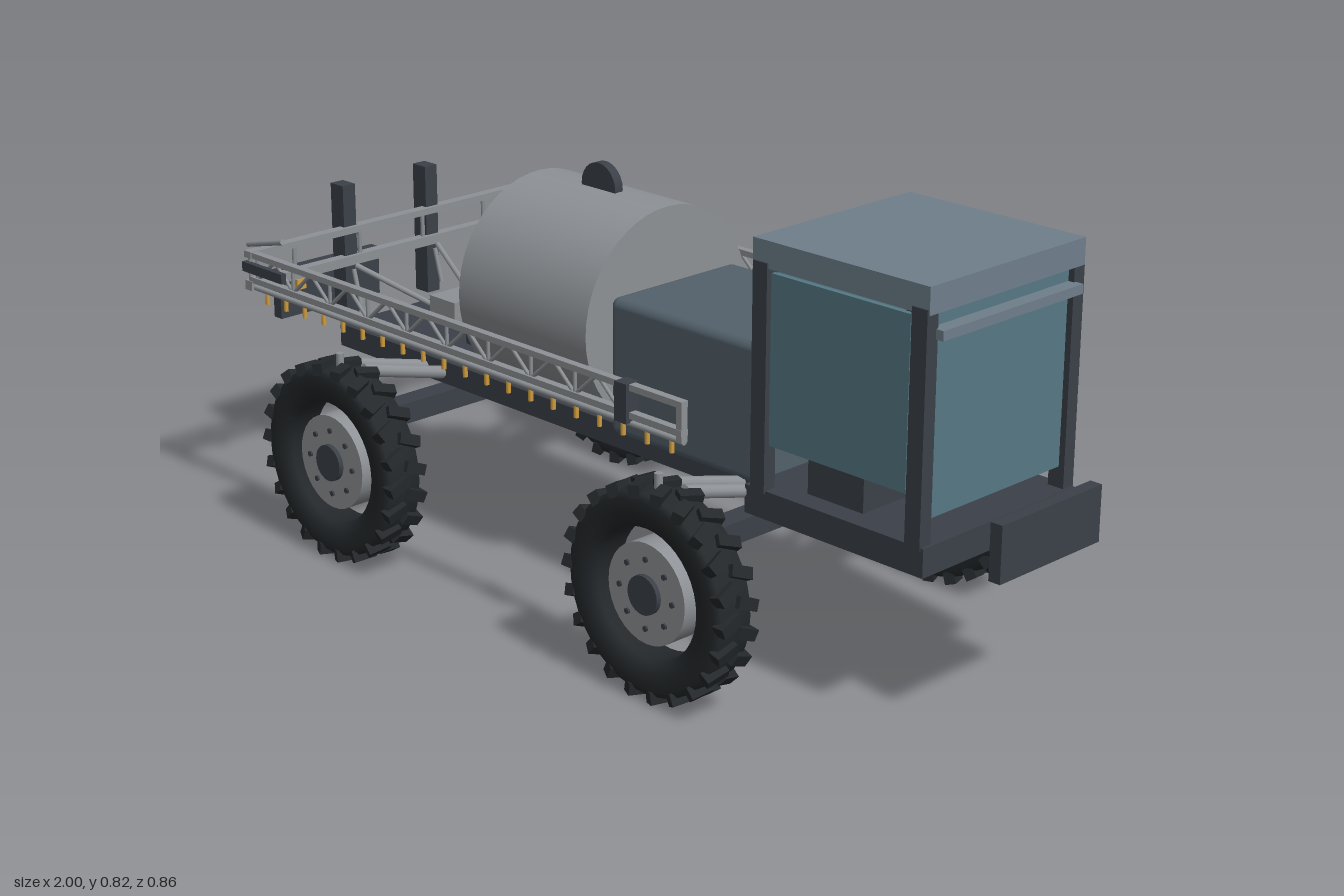
import * as THREE from 'three';
import { RoundedBoxGeometry } from 'three/addons/geometries/RoundedBoxGeometry.js';

const mat = (color, flatShading = false) => {
  const m = new THREE.MeshStandardMaterial({ color });
  m.flatShading = flatShading;
  return m;
};
const DARK = mat(0x3b4048), TIRE = mat(0x24282b), STEEL = mat(0x8e9296), ROOF = mat(0x6f7f8c),
  HOOD = mat(0x53616b), GLASS = mat(0x557885), AMBER = mat(0xd4a040);

export function createModel() {
  const root = new THREE.Group();
  root.name = 'fieldSprayer';

  const add = (name, geo, material, parent = root) => {
    const m = new THREE.Mesh(geo, material);
    m.name = name;
    parent.add(m);
    return m;
  };
  // Box given by its minimum and maximum on each axis
  const box = (name, material, x0, x1, y0, y1, z0, z1, parent) => {
    const m = add(name, new THREE.BoxGeometry(x1 - x0, y1 - y0, z1 - z0), material, parent);
    m.position.set((x0 + x1) / 2, (y0 + y1) / 2, (z0 + z1) / 2);
    return m;
  };
  // Round bar between two points
  const rod = (name, material, a, b, r, parent, sides = 10) => {
    const p = new THREE.Vector3(...a), q = new THREE.Vector3(...b), d = q.clone().sub(p);
    const m = add(name, new THREE.CylinderGeometry(r, r, d.length(), sides), material, parent);
    m.position.copy(p).add(q).multiplyScalar(0.5);
    m.quaternion.setFromUnitVectors(new THREE.Vector3(0, 1, 0), d.normalize());
    return m;
  };
  const group = (name) => {
    const g = new THREE.Group();
    g.name = name;
    root.add(g);
    return g;
  };

  // Chassis
  box('deck', DARK, -0.75, 0.89, 0.313, 0.36, -0.15, 0.15);
  box('cabFloor', DARK, 0.475, 0.89, 0.311, 0.365, -0.205, 0.205);
  box('frontPlate', DARK, 0.975, 1, 0.313, 0.42, -0.135, 0.135);
  box('rearPlate', DARK, -1, -0.975, 0.313, 0.42, -0.135, 0.135);

  // Cab
  const cab = group('cab');
  box('roof', ROOF, 0.487, 0.886, 0.775, 0.825, -0.205, 0.205, cab);
  for (const s of [-1, 1]) {
    for (const x of [0.507, 0.867])
      box('pillar', DARK, x - 0.017, x + 0.017, 0.36, 0.785, s * 0.194 - 0.014, s * 0.194 + 0.014, cab);
    box('sideWindow', GLASS, 0.527, 0.842, 0.45, 0.767, s * 0.195 - 0.005, s * 0.195 + 0.005, cab);
  }
  box('windscreen', GLASS, 0.862, 0.872, 0.405, 0.778, -0.182, 0.182, cab);
  box('rearWindow', GLASS, 0.5, 0.51, 0.45, 0.778, -0.182, 0.182, cab);
  box('lightBar', ROOF, 0.872, 0.9, 0.73, 0.748, -0.185, 0.185, cab);
  box('seatBase', DARK, 0.585, 0.715, 0.36, 0.45, -0.16, 0.16, cab);

  // Ladder rungs beside the cab
  for (const y of [0.141, 0.182, 0.223, 0.265])
    box('ladderRung', STEEL, 0.475, 0.545, y - 0.005, y + 0.005, -0.246, -0.172);

  // Engine hood with side vents
  add('hood', new RoundedBoxGeometry(0.4, 0.27, 0.326, 3, 0.018), HOOD).position.set(0.28, 0.478, 0);
  for (let i = 0; i < 10; i++) {
    const x = 0.205 + i * 0.022;
    box('ventSlat', DARK, x, x + 0.011, 0.43, 0.55, -0.17, -0.158);
  }

  // Tank and lid
  const tank = add('tank', new THREE.CylinderGeometry(0.213, 0.213, 0.36, 48), STEEL);
  tank.rotation.z = Math.PI / 2;
  tank.position.set(-0.11, 0.54, 0);
  const lid = add('tankLid', new THREE.CylinderGeometry(0.047, 0.047, 0.02, 24), DARK);
  lid.rotation.x = Math.PI / 2;
  lid.position.set(-0.11, 0.757, 0);

  // Pump and plumbing behind the tank
  box('pump', STEEL, -0.565, -0.487, 0.39, 0.445, -0.06, 0.06);
  box('pumpMotor', DARK, -0.47, -0.39, 0.36, 0.445, -0.045, 0.045);
  rod('pumpPipe', STEEL, [-0.5, 0.41, 0], [-0.28, 0.41, 0], 0.007);

  // Wheels: ring tyre with angled lugs around an open hub
  const tyreProfile = [[0.124, -0.03], [0.15, -0.04], [0.178, -0.043], [0.19, -0.036], [0.193, 0],
    [0.19, 0.036], [0.178, 0.043], [0.15, 0.04], [0.124, 0.03], [0.124, -0.03]]
    .map(([r, z]) => new THREE.Vector2(r, z));
  const tyreGeo = new THREE.LatheGeometry(tyreProfile, 40);
  const lugGeo = new THREE.BoxGeometry(0.022, 0.024, 0.046);
  const makeWheel = (x, side) => {
    const w = group('wheel');
    w.position.set(x, 0.205, side * 0.385);
    if (side < 0) w.rotation.y = Math.PI;
    add('tyre', tyreGeo, TIRE, w).rotation.x = Math.PI / 2;
    const count = 22;
    for (let i = 0; i < count * 2; i++) {
      const s = i % 2 ? 1 : -1;
      const pivot = new THREE.Group();
      pivot.name = 'lugPivot';
      pivot.rotation.z = (i / (count * 2)) * Math.PI * 2;
      w.add(pivot);
      const lug = add('lug', lugGeo, TIRE, pivot);
      lug.position.set(0, 0.191, s * 0.0215);
      lug.rotation.y = s * 0.4;
    }
    rod('hub', STEEL, [0, 0, -0.03], [0, 0, 0.03], 0.096, w, 32);
    rod('hubCap', DARK, [0, 0, -0.036], [0, 0, 0.04], 0.037, w, 24);
    for (let i = 0; i < 8; i++) {
      const a = i * Math.PI / 4, p = [0.066 * Math.cos(a), 0.066 * Math.sin(a)];
      rod('wheelBolt', DARK, [...p, -0.034], [...p, 0.034], 0.006, w, 6);
    }
  };

  // Axles with sloping support arms
  for (const x of [-0.45, 0.44]) {
    box('axle', DARK, x - 0.024, x + 0.024, 0.247, 0.29, -0.345, 0.345);
    for (const s of [-1, 1]) {
      makeWheel(x, s);
      for (const dx of [-0.027, 0.027])
        rod('supportArm', STEEL, [x + dx, 0.335, s * 0.15], [x + dx, 0.388, s * 0.35], 0.013);
      rod('kingpin', STEEL, [x, 0.39, s * 0.385], [x, 0.425, s * 0.385], 0.008);
    }
  }

  // Rear mast
  for (const s of [-1, 1])
    box('mastPost', DARK, -0.797, -0.757, 0.372, 0.65, s * 0.11 - 0.016, s * 0.11 + 0.016);

  // Rear crossing truss
  const TOP = 0.555, LOW = 0.49;
  const rear = group('rearTruss');
  box('topChord', STEEL, -0.77, -0.748, TOP - 0.007, TOP + 0.007, -0.372, 0.372, rear);
  box('bottomChord', STEEL, -0.77, -0.748, LOW - 0.01, LOW + 0.01, -0.372, 0.372, rear);
  for (const z of [-0.365, -0.255, -0.085, 0.085, 0.255, 0.365])
    rod('upright', STEEL, [-0.759, LOW, z], [-0.759, TOP, z], 0.005, rear, 6);
  for (const s of [-1, 1])
    box('rearNozzle', AMBER, -0.77, -0.748, 0.457, 0.479, s * 0.247 - 0.011, s * 0.247 + 0.011, rear);

  // Folded side booms
  for (const s of [-1, 1]) {
    const boom = group('sideBoom'), z = s * 0.362;
    box('topChord', STEEL, -0.76, 0.48, TOP - 0.006, TOP + 0.006, z - 0.008, z + 0.008, boom);
    box('bottomChord', STEEL, -0.76, 0.48, 0.497, 0.509, z - 0.008, z + 0.008, boom);
    rod('sprayPipe', STEEL, [-0.76, 0.486, z], [0.48, 0.486, z], 0.006, boom, 8);
    const bays = 18, step = 1.06 / bays;
    for (let i = 0; i < bays; i++) {
      const x = -0.74 + i * step, up = i % 2 === 0;
      rod('brace', STEEL, [x, up ? 0.503 : TOP, z], [x + step, up ? TOP : 0.503, z], 0.004, boom, 6);
      if (up) rod('upright', STEEL, [x, 0.503, z], [x, TOP, z], 0.004, boom, 6);
    }
    box('endPost', STEEL, 0.466, 0.48, 0.485, TOP, z - 0.007, z + 0.007, boom);
    box('boomRest', DARK, 0.32, 0.35, 0.488, 0.562, z - 0.015, z + 0.015, boom);
    box('boomHinge', DARK, -0.77, -0.64, 0.52, 0.54, s * 0.372 - 0.006, s * 0.372 + 0.006, boom);
    for (let i = 0; i < 20; i++)
      rod('nozzle', AMBER, [-0.71 + i * 0.061, 0.459, z], [-0.71 + i * 0.061, 0.482, z], 0.005, boom, 6);
    rod('foldCylinder', STEEL, [-0.745, 0.582, s * 0.378], [-0.63, 0.61, s * 0.378], 0.006, boom);
    rod('hangerRod', STEEL, [-0.75, 0.47, s * 0.11], [-0.73, 0.4, s * 0.11], 0.005, boom, 8);
    rod('liftArm', STEEL, [-0.74, 0.48, s * 0.11], [-0.56, 0.42, s * 0.05], 0.006, boom, 8);
  }

  return root;
}
